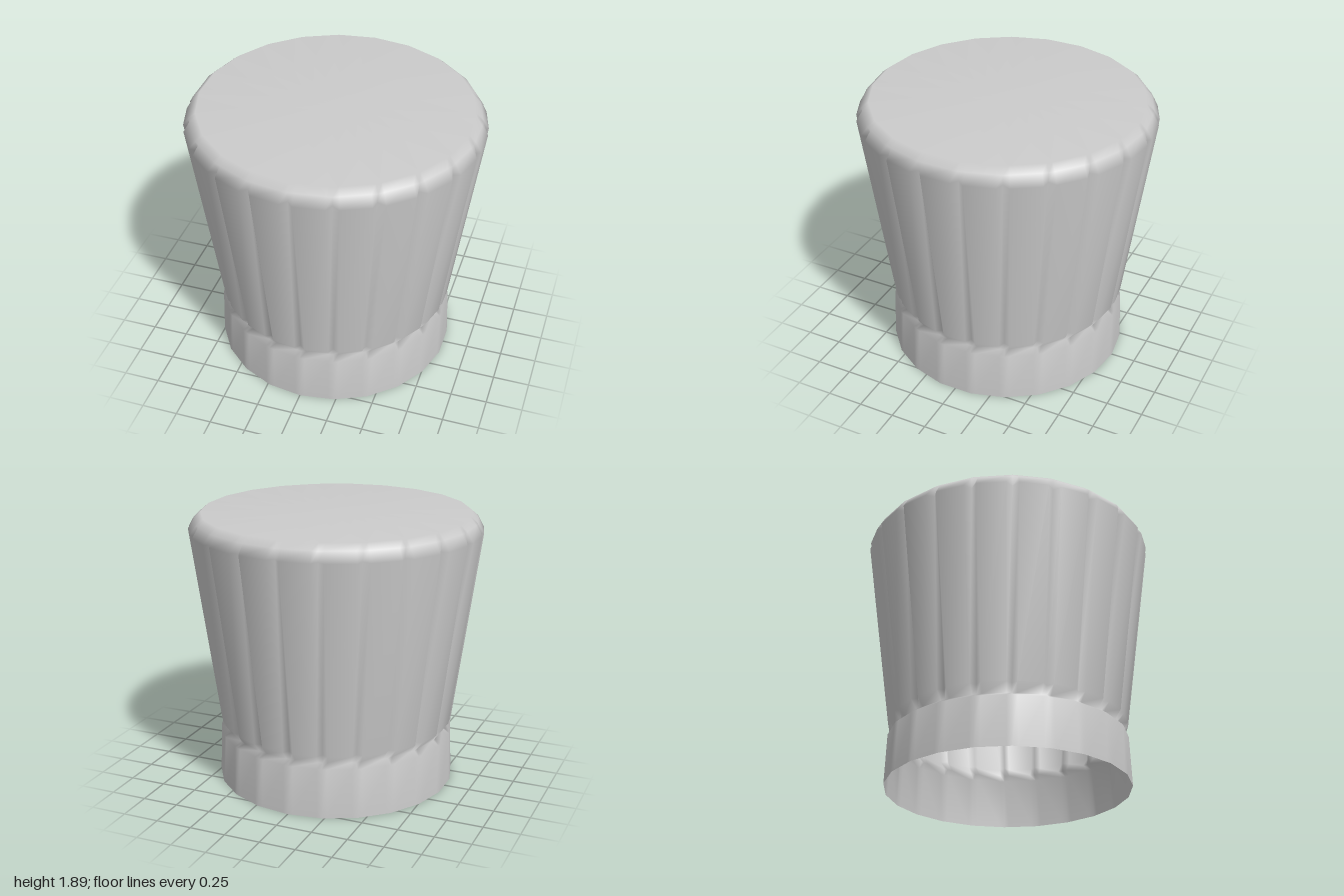
import * as THREE from 'three';

const FLUTES = 22;
const STEP = (Math.PI * 2) / FLUTES;
const GROOVE = 0.042; // half angle of a groove

// Rings from bottom to top: height, radius at groove line, radius at panel edges.
// Without a panel radius the ring is a plain 22-sided polygon.
const RINGS = [
  [0, 0.83],
  [0.345, 0.817],
  [0.375, 0.775],
  [0.437, 0.783, 0.816],
  [1.78, 0.953, 1.0],
  [1.85, 0.962],
  [1.89, 0.915],
];

function createShell() {
  const positions = [];
  const indices = [];
  const n = FLUTES * 3;
  // Radius of a point on the polygon side, next to a corner
  const chord = Math.cos(STEP / 2) / Math.cos(STEP / 2 - GROOVE);

  for (const [y, r, panel] of RINGS) {
    for (let i = 0; i < FLUTES; i++) {
      for (const k of [-1, 0, 1]) {
        const a = i * STEP + k * GROOVE;
        const radius = k === 0 ? r : panel ?? r * chord;
        positions.push(radius * Math.sin(a), y, radius * Math.cos(a));
      }
    }
  }

  // Wall between neighbouring rings
  for (let j = 0; j < RINGS.length - 1; j++) {
    for (let i = 0; i < n; i++) {
      const a = j * n + i;
      const b = j * n + ((i + 1) % n);
      indices.push(a, b, b + n, a, b + n, a + n);
    }
  }

  // Flat closed top
  const last = (RINGS.length - 1) * n;
  const centre = positions.length / 3;
  positions.push(0, RINGS[RINGS.length - 1][0], 0);
  for (let i = 0; i < n; i++) indices.push(last + i, last + ((i + 1) % n), centre);

  const geometry = new THREE.BufferGeometry();
  geometry.setAttribute('position', new THREE.Float32BufferAttribute(positions, 3));
  geometry.setIndex(indices);
  geometry.computeVertexNormals();
  return geometry;
}

export function createModel() {
  const group = new THREE.Group();
  group.name = 'bottleCap';
  // Thin fluted shell with a collar, open at the bottom
  const material = new THREE.MeshStandardMaterial({ color: 0xcccccc, side: THREE.DoubleSide });
  const shell = new THREE.Mesh(createShell(), material);
  shell.name = 'flutedShell';
  group.add(shell);
  return group;
}
